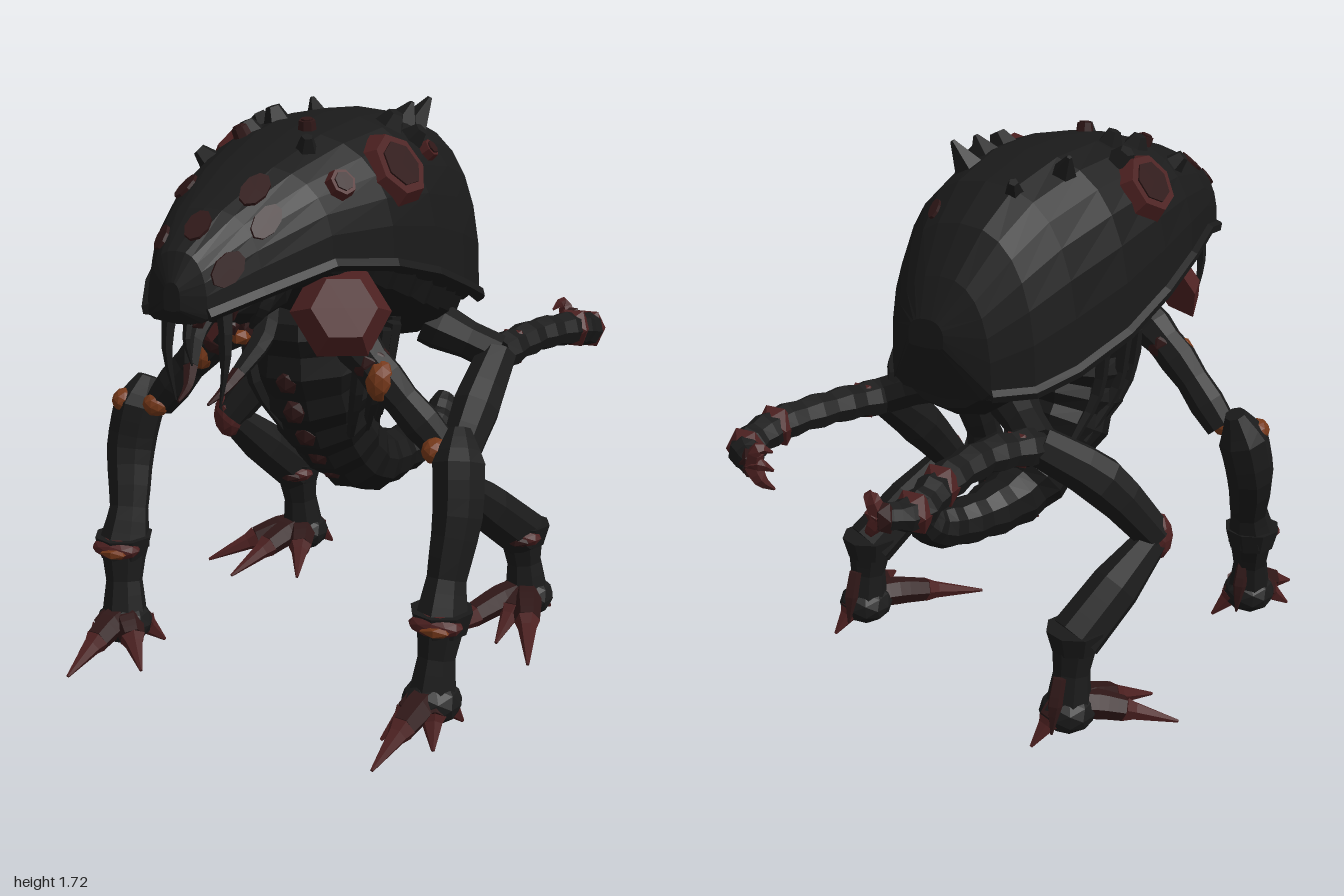
import * as THREE from 'three';

const V = (x, y, z) => new THREE.Vector3(x, y, z);
const flat = (name, color) => {
  const m = new THREE.MeshStandardMaterial({ color, flatShading: true });
  m.name = name;
  return m;
};

// Closed skin over a list of rings, wound outward
function loft(rings) {
  const n = rings[0].length, pos = [], idx = [];
  rings.flat().forEach(p => pos.push(p.x, p.y, p.z));
  for (let i = 0; i < rings.length - 1; i++) for (let j = 0; j < n; j++) {
    const a = i * n + j, b = i * n + (j + 1) % n;
    idx.push(a, b, b + n, a, b + n, a + n);
  }
  [0, rings.length - 1].forEach((r, end) => {
    const c = rings[r].reduce((s, p) => s.add(p), V(0, 0, 0)).divideScalar(n);
    const k = pos.length / 3;
    pos.push(c.x, c.y, c.z);
    for (let j = 0; j < n; j++) {
      const a = r * n + j, b = r * n + (j + 1) % n;
      end ? idx.push(a, b, k) : idx.push(b, a, k);
    }
  });
  const at = i => V(pos[i * 3], pos[i * 3 + 1], pos[i * 3 + 2]);
  let volume = 0;
  for (let i = 0; i < idx.length; i += 3) volume += at(idx[i]).dot(at(idx[i + 1]).cross(at(idx[i + 2])));
  if (volume < 0) idx.reverse();
  const g = new THREE.BufferGeometry();
  g.setAttribute('position', new THREE.Float32BufferAttribute(pos, 3));
  g.setIndex(idx);
  g.computeVertexNormals();
  return g;
}

// Tapered limb through points [x, y, z, radius]; ripple makes ringed segments
function limb(pts, { steps = 3, sides = 8, ripple = 0 } = {}) {
  const curve = new THREE.CatmullRomCurve3(pts.map(p => V(p[0], p[1], p[2])), false, 'centripetal');
  const total = (pts.length - 1) * steps, rings = [];
  let side = V(1, 0, 0.13);
  for (let i = 0; i <= total; i++) {
    const t = i / total, k = Math.min(Math.floor(i / steps), pts.length - 2), f = i / steps - k;
    const r = THREE.MathUtils.lerp(pts[k][3], pts[k + 1][3], f) * (1 + (i % 2 ? ripple : -ripple));
    const c = curve.getPoint(t), d = curve.getTangent(t);
    side = side.clone().addScaledVector(d, -side.dot(d)).normalize();
    const up = d.clone().cross(side);
    rings.push(Array.from({ length: sides }, (_, j) => {
      const a = j / sides * Math.PI * 2;
      return c.clone().addScaledVector(side, Math.cos(a) * r).addScaledVector(up, Math.sin(a) * r);
    }));
  }
  return loft(rings);
}

// Shell stations: z, centre x, half width, top y, rim y
const SHELL = [
  [0.975, -0.13, 0.025, 1.34, 1.29], [0.94, -0.13, 0.09, 1.42, 1.25], [0.8, -0.11, 0.17, 1.515, 1.29],
  [0.6, -0.07, 0.26, 1.61, 1.34], [0.4, -0.03, 0.33, 1.68, 1.31], [0.2, 0, 0.36, 1.71, 1.25],
  [0, 0.03, 0.355, 1.705, 1.17], [-0.2, 0.06, 0.31, 1.65, 1.1], [-0.32, 0.08, 0.25, 1.55, 1.06],
  [-0.41, 0.1, 0.17, 1.41, 1.06], [-0.465, 0.12, 0.06, 1.29, 1.23]];

function station(z) {
  let i = 0;
  while (i < SHELL.length - 2 && SHELL[i + 1][0] > z) i++;
  const a = SHELL[i], b = SHELL[i + 1], f = (a[0] - z) / (a[0] - b[0]);
  return a.map((v, k) => THREE.MathUtils.lerp(v, b[k], f));
}
const soft = v => Math.sign(v) * Math.abs(v) ** 0.8;
function shellPoint(z, t) {
  const [, cx, hw, top, rim] = station(z);
  return V(cx + hw * soft(Math.cos(t)), rim + (top - rim) * soft(Math.sin(t)), z);
}

export function createModel() {
  const model = new THREE.Group();
  const black = flat('carapace black', 0x1a1a1a), dark = flat('belly black', 0x171717);
  const red = flat('dull red', 0x4c2020), deep = flat('deep red', 0x2f1717), orange = flat('orange joint', 0x753819);
  const add = (name, geo, mat) => {
    const m = new THREE.Mesh(geo, mat);
    m.name = name;
    model.add(m);
    return m;
  };
  const blob = (name, mat, [x, y, z], [sx, sy, sz], detail = 1) => {
    const m = add(name, new THREE.IcosahedronGeometry(1, detail), mat);
    m.position.set(x, y, z);
    m.scale.set(sx, sy, sz);
    return m;
  };
  const frustum = (r1, r2, h, n = 7) => new THREE.CylinderGeometry(r1, r2, h, n);

  // Domed shell with a tucked-in underside
  add('shell', loft(SHELL.map(s => {
    const [z, cx, hw, top, rim] = s, ring = [];
    for (let j = 0; j <= 14; j++) ring.push(shellPoint(z, j / 14 * Math.PI));
    for (const [u, v] of [[-0.96, 0.1], [-0.8, 0.03], [0, -0.02], [0.8, 0.03], [0.96, 0.1]])
      ring.push(V(cx + hw * u, rim - 0.03 + v * (top - rim), z));
    return ring;
  })), black);
  for (const t of [0, Math.PI])
    add('shellRim', limb(SHELL.slice(1, 10).map(([z]) => {
      const p = shellPoint(z, t);
      return [p.x, p.y, z, 0.02];
    }), { steps: 1, sides: 5 }), black);

  // Parts sitting on the shell, turned to its normal
  const onShell = (name, geo, mat, z, t, lift = 0) => {
    const p = shellPoint(z, t), e = 0.03;
    const n = shellPoint(z, t + e).sub(shellPoint(z, t - e)).cross(shellPoint(z + e, t).sub(shellPoint(z - e, t))).normalize();
    if (n.dot(p.clone().sub(V(station(z)[1], 1.3, z))) < 0) n.negate();
    const m = add(name, geo, mat);
    m.position.copy(p).addScaledVector(n, lift);
    m.quaternion.setFromUnitVectors(V(0, 1, 0), n);
    return m;
  };
  for (const [z, t, r, rim] of [[0.3, 0.7, 0.12, red], [0.2, Math.PI - 0.73, 0.115, red], [0.52, 0.72, 0.05, red],
    [0.09, 0.8, 0.035, red], [0.4, 1.95, 0.03, deep], [0.37, 1.5, 0.03, deep]]) {
    onShell('craterRim', frustum(r * 0.82, r * 1.02, 0.05), rim, z, t);
    onShell('craterFloor', frustum(r * 0.6, r * 0.6, 0.008), deep, z, t, 0.026);
  }
  // Faint long patches on the head and rear
  for (const [z, t, r, stretch] of [[0.7, 1.25, 0.038, 1.8], [0.66, 2.2, 0.04, 1.2], [0.86, 1.5, 0.035, 1.6],
    [0.87, 2.2, 0.03, 1.5], [0.88, 0.45, 0.04, 1.5], [0.75, 0.75, 0.035, 1.8], [-0.27, 1.2, 0.02, 1.8]])
    onShell('shellPatch', frustum(r, r, 0.009, 9), deep, z, t, 0.004).scale.z = stretch;
  // Dark lumps and a few spikes along the back
  for (const [z, t, r, h] of [[0.01, 1.2, 0.055, 0.07], [-0.08, 1.2, 0.055, 0.11], [-0.04, 1.95, 0.045, 0.08],
    [0.13, 1.15, 0.05, 0.05], [0.25, 1.85, 0.045, 0.05], [0.18, 2.1, 0.05, 0.05], [-0.2, 1.8, 0.03, 0.04],
    [0.45, 2.3, 0.04, 0.05], [0.1, 0.95, 0.045, 0.05], [0.48, 1.3, 0.035, 0.05], [0.35, 1.95, 0.045, 0.04]])
    onShell('shellLump', frustum(h > 0.06 ? 0.008 : r * 0.5, r, h, 5), black, z, t, h * 0.3);

  // Ringed belly under the shell
  add('belly', loft(Array.from({ length: 19 }, (_, i) => {
    const f = i / 18, z = 0.58 - f * 0.98, [, cx, hw, , rim] = station(z);
    const w = hw * 0.86 * (i % 2 ? 1 : 0.94), h = (i % 2 ? 0.25 : 0.225) * Math.sin(Math.PI * (0.14 + f * 0.66)) - f * 0.03;
    return Array.from({ length: 12 }, (_, j) => {
      const a = j / 12 * Math.PI * 2;
      return V(cx + w * Math.cos(a), rim + 0.03 + Math.sin(a) * (Math.sin(a) < 0 ? h : 0.06), z);
    });
  })), dark);

  // Hanging segmented abdomen with a curled tail
  add('abdomen', limb([[-0.03, 1.12, 0.24, 0.2], [-0.02, 0.9, 0.22, 0.185], [0, 0.72, 0.14, 0.15], [0.05, 0.57, 0, 0.11],
    [0.1, 0.54, -0.2, 0.08], [0.16, 0.57, -0.38, 0.07], [0.17, 0.66, -0.48, 0.035]], { steps: 4, sides: 10, ripple: 0.05 }), dark);
  [[0.92, 0.405], [0.82, 0.38], [0.73, 0.315], [0.65, 0.245], [0.58, 0.165]].forEach(([y, z], i) =>
    blob('bellyPlate', deep, [-0.04 + i * 0.012, y, z], [0.04, 0.04, 0.02], 0));
  for (const s of [-1, 1]) for (let i = 0; i < 4; i++) {
    const z = 0.36 - i * 0.085, x = s * (0.14 + 0.05 * Math.sin((i + 0.5) / 4 * Math.PI));
    add('rib', limb([[x * 1.2, 1.08, z, 0.025], [x * 1.05, 0.9, z, 0.022], [x * 0.7, 0.73, z - 0.09, 0.012]], { sides: 5 }), black);
  }

  // Faceted cheek shields facing forward and outward
  for (const [x, y, z, r, dir] of [[-0.262, 1.185, 0.51, 0.135, V(-0.45, 0.4, 0.8)], [0.185, 1.19, 0.52, 0.15, V(0.5, 0.4, 0.8)]]) {
    const m = add('cheekShield', frustum(r * 0.65, r, 0.06, 6), red);
    m.position.set(x, y, z);
    m.quaternion.setFromUnitVectors(V(0, 1, 0), dir.normalize());
  }

  // Mouth, fangs and mandibles
  blob('face', dark, [-0.08, 1.26, 0.64], [0.14, 0.1, 0.22]);
  blob('snoutLip', black, [-0.125, 1.26, 0.87], [0.065, 0.06, 0.09]);
  blob('throat', deep, [-0.08, 1.13, 0.54], [0.045, 0.08, 0.08]);
  blob('tongue', orange, [-0.09, 1.11, 0.63], [0.035, 0.025, 0.03], 0);
  for (const [x, y, z] of [[-0.03, 1.24, 0.83], [-0.16, 1.19, 0.76], [-0.06, 1.18, 0.76]])
    blob('gum', deep, [x, y, z], [0.03, 0.035, 0.03], 0);
  for (const s of [-1, 1]) {
    const x = -0.1 + s * 0.075;
    add('fang', limb([[x, 1.3, 0.87, 0.028], [x + s * 0.015, 1.13, 0.89, 0.016], [x, 0.98, 0.89 + s * 0.015, 0.003]], { sides: 5 }), black);
    add('innerFang', limb([[x - s * 0.025, 1.26, 0.8, 0.018], [x - s * 0.02, 1.15, 0.84, 0.012], [x - s * 0.03, 1.07, 0.83, 0.003]], { sides: 5 }), black);
    add('mandible', limb([[x, 1.22, 0.58, 0.04], [x + s * 0.03, 1.13, 0.68, 0.035], [x, 1.05, 0.78, 0.022]], { sides: 6 }), black);
    add('mandibleTip', limb([[x, 1.05, 0.78, 0.022], [x - s * 0.02, 1.01, 0.84, 0.014], [x - s * 0.03, 0.99, 0.92, 0.004]], { sides: 5 }), deep);
    add('lip', limb([[x + s * 0.07, 1.32, 0.7, 0.035], [x + s * 0.05, 1.23, 0.73, 0.028], [x + s * 0.02, 1.17, 0.74, 0.006]], { sides: 5 }), dark);
  }

  // Flared cuff, clawed toes and a hanging dewclaw
  function foot([ax, ay, az], [x, y, z], toes, studMat) {
    const cuff = add('ankleCuff', frustum(0.094, 0.075, 0.07, 8), black);
    cuff.position.set(ax, ay, az);
    blob('cuffGuard', red, [ax, ay + 0.005, az + 0.052], [0.082, 0.035, 0.05]);
    blob('cuffStud', studMat, [ax + 0.01, ay, az + 0.085], [0.05, 0.02, 0.03], 0);
    add('ankle', limb([[ax, ay, az, 0.075], [(ax + x) / 2, (ay + y) / 2, (az + z) / 2, 0.058], [x, y - 0.02, z, 0.075]]), black);
    blob('footPad', black, [x, y - 0.02, z], [0.09, 0.07, 0.09]);
    add('dewclaw', limb([[x, 0.24, z - 0.06, 0.022], [x, 0.16, z - 0.09, 0.024], [x, 0.07, z - 0.11, 0.004]], { sides: 5 }), deep);
    for (const [tx, tz] of toes) {
      const p = f => [x + (tx - x) * f, z + (tz - z) * f], a = p(0.25), b = p(0.5);
      add('toe', limb([[x, y, z, 0.045], [a[0], 0.11, a[1], 0.048], [b[0], 0.085, b[1], 0.04]], { sides: 6 }), deep);
      add('claw', limb([[b[0], 0.085, b[1], 0.042], [tx, 0.02, tz, 0.005]], { sides: 6 }), red);
    }
  }

  // Front legs: hip, elbow, shin, foot
  const fronts = [
    { hip: [-0.2, 1.1, 0.36], mid: [-0.35, 0.98, 0.33], knee: [-0.52, 0.78, 0.31], top: [-0.58, 0.85, 0.27], bulge: [-0.62, 0.62, 0.33],
      ankle: [-0.59, 0.34, 0.45], foot: [-0.57, 0.12, 0.5], toes: [[-0.62, 0.78], [-0.43, 0.66], [-0.67, 0.62], [-0.47, 0.42]],
      patch: [-0.635, 0.78, 0.33] },
    { hip: [0.17, 1.1, 0.44], mid: [0.29, 0.98, 0.46], knee: [0.46, 0.79, 0.44], top: [0.52, 0.85, 0.45], bulge: [0.55, 0.62, 0.55],
      ankle: [0.54, 0.34, 0.65], foot: [0.53, 0.13, 0.7], toes: [[0.46, 1], [0.58, 0.83], [0.42, 0.82], [0.6, 0.62]],
      patch: [0.46, 0.79, 0.49] }];
  for (const L of fronts) {
    add('frontThigh', limb([[...L.hip, 0.07], [...L.mid, 0.06], [...L.knee, 0.055]], { ripple: 0.06 }), black);
    blob('hipJoint', orange, [L.mid[0], L.mid[1], L.mid[2] + 0.025], [0.045, 0.065, 0.052]);
    blob('hipCollar', deep, L.hip.map((v, i) => v * 0.35 + L.mid[i] * 0.65), [0.06, 0.06, 0.065]);
    blob('elbowJoint', orange, [L.knee[0], L.knee[1], L.knee[2] + 0.025], [0.045, 0.04, 0.045]);
    blob('elbowPatch', orange, L.patch, [0.04, 0.04, 0.05]);
    add('frontShin', limb([[...L.top, 0.035], [L.top[0] + (L.bulge[0] - L.top[0]) * 0.5, 0.76, (L.top[2] + L.bulge[2]) / 2, 0.082],
      [...L.bulge, 0.078], [L.ankle[0], 0.45, L.ankle[2] - 0.04, 0.062], [...L.ankle, 0.082]]), black);
    foot(L.ankle, L.foot, L.toes, orange);
  }

  // Rear legs with trailing hooked arms
  const rears = [
    { hip: [-0.02, 1, -0.22], knee: [-0.51, 0.6, -0.18], mid: [-0.37, 0.79, -0.27], top: [-0.2, 0.91, -0.36],
      arm: [[-0.12, 0.93, -0.55, 0.055], [-0.085, 0.91, -0.74, 0.055], [-0.075, 0.88, -0.87, 0.055]], tip: [-0.02, 0.89, -0.96],
      ankle: [-0.37, 0.34, -0.44], foot: [-0.36, 0.12, -0.47], toes: [[-0.64, -0.26], [-0.5, -0.15], [-0.28, -0.22], [-0.3, -0.6]] },
    { hip: [0.2, 1, -0.18], knee: [0.385, 0.57, 0.11], mid: [0.41, 0.76, -0.06], top: [0.43, 0.9, -0.22],
      arm: [[0.5, 0.92, -0.42, 0.055], [0.58, 0.91, -0.6, 0.055], [0.6, 0.88, -0.73, 0.055]], tip: [0.51, 0.88, -0.82],
      ankle: [0.54, 0.32, -0.17], foot: [0.56, 0.12, -0.18], toes: [[0.67, 0.18], [0.32, 0.2], [0.53, 0.06], [0.61, -0.3]] }];
  for (const L of rears) {
    add('rearHip', limb([[...L.hip, 0.08], [...L.top, 0.06]], { ripple: 0.06 }), black);
    add('rearThigh', limb([[...L.top, 0.065], [...L.mid, 0.08], [...L.knee, 0.06]]), black);
    blob('kneeCap', red, L.knee, [0.055, 0.08, 0.055]);
    const half = L.knee.map((v, i) => (v + L.ankle[i]) / 2);
    add('rearShin', limb([[...L.knee, 0.05], [...half, 0.08], [...L.ankle, 0.085]]), black);
    foot(L.ankle, L.foot, L.toes, deep);
    add('trailingArm', limb([[...L.top, 0.06], ...L.arm, [...L.tip, 0.035]], { steps: 4, ripple: 0.07 }), black);
    blob('armCollar', red, L.top.map((v, i) => v * 0.6 + L.arm[0][i] * 0.4), [0.055, 0.064, 0.05], 0);
    for (const [x, y, z, r] of L.arm.slice(1)) blob('armKnuckle', red, [x, y, z], [r * 1.2, r * 1.3, r], 0);
    const [x, y, z] = L.tip, s = Math.sign(L.tip[0] - L.arm[2][0]);
    blob('armFist', deep, [x - s * 0.01, y, z + 0.005], [0.04, 0.055, 0.035], 0);
    for (const k of [-1, 0, 1])
      add('armHook', limb([[x, y, z, 0.03], [x + s * 0.025, y + k * 0.05 + 0.01, z - 0.005, 0.022], [x + s * 0.05, y + k * 0.06 - 0.02, z + 0.03, 0.004]], { sides: 5 }), red);
  }
  return model;
}
